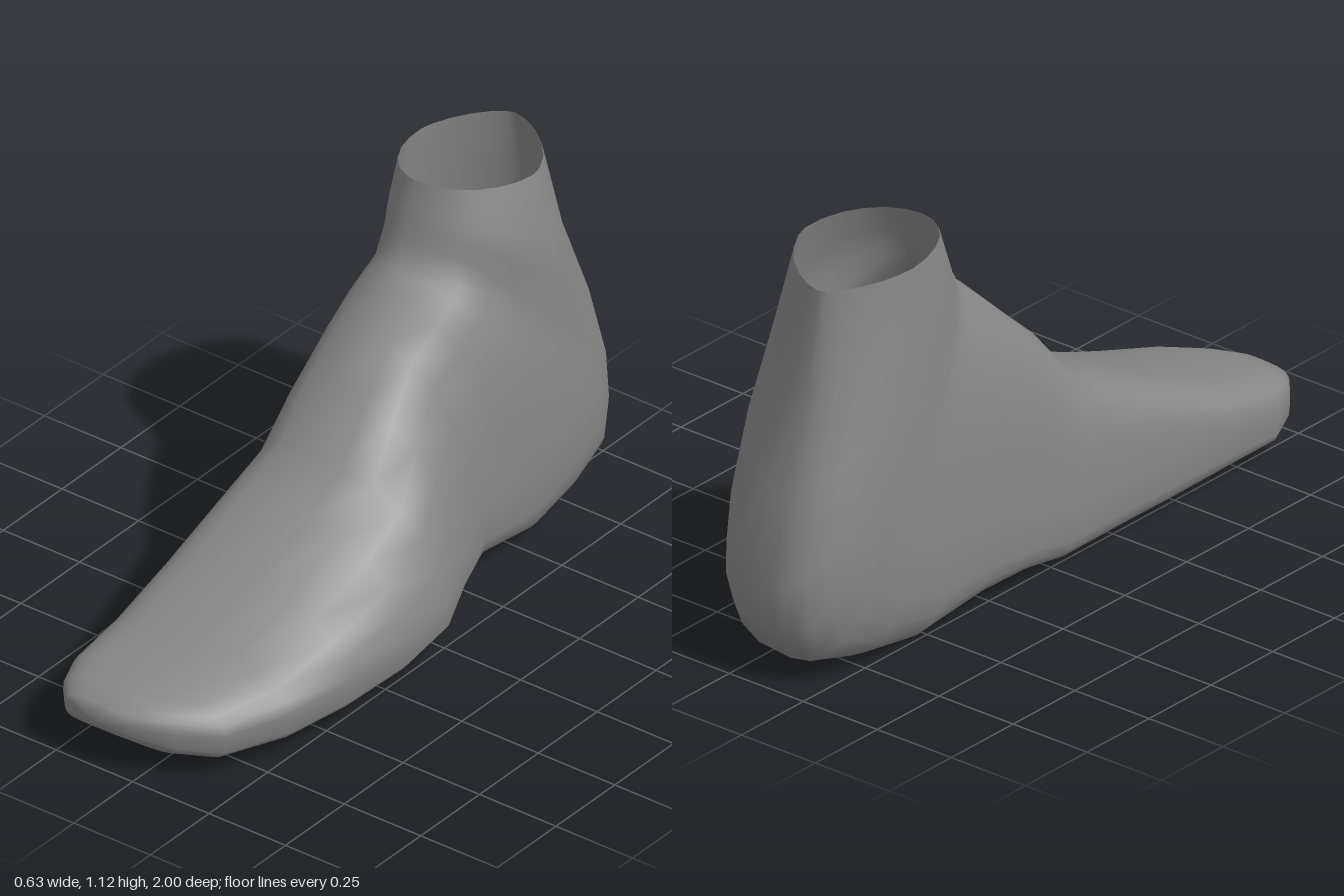
import * as THREE from 'three';

// Cross-sections fanning from the toes (upright) round the heel to the ankle opening (level).
// [soleZ, soleY, topZ, topY, innerX, outerX, widest point (0 sole..1 top)]
const SECTIONS = [
  [0.98, 0.11, 0.985, 0.19, -0.235, -0.02, 0.5],
  [0.92, 0.065, 0.93, 0.21, -0.285, 0.09, 0.5],
  [0.84, 0.04, 0.85, 0.23, -0.315, 0.185, 0.5],
  [0.66, 0.035, 0.68, 0.27, -0.315, 0.27, 0.5],
  [0.45, 0.03, 0.47, 0.36, -0.315, 0.305, 0.42],
  [0.22, 0.03, 0.26, 0.46, -0.315, 0.315, 0.33],
  [0, 0.025, 0.12, 0.54, -0.315, 0.285, 0.28],
  [-0.15, 0.045, 0, 0.68, -0.315, 0.225, 0.26],
  [-0.33, 0.04, -0.12, 0.79, -0.315, 0.16, 0.28],
  [-0.56, 0.005, -0.2, 0.87, -0.315, 0.175, 0.29],
  [-0.76, 0.025, -0.25, 0.91, -0.315, 0.175, 0.32],
  [-0.92, 0.065, -0.275, 0.935, -0.31, 0.17, 0.36],
  [-0.98, 0.16, -0.285, 0.96, -0.31, 0.16, 0.4],
  [-1, 0.3, -0.3, 0.985, -0.305, 0.15, 0.45],
  [-0.94, 0.54, -0.31, 1.02, -0.295, 0.155, 0.5],
  [-0.85, 0.81, -0.325, 1.055, -0.285, 0.14, 0.5],
  [-0.81, 1.09, -0.35, 1.125, -0.27, 0.095, 0.5],
];
const SIDES = 24;

// One closed loop, counter-clockwise seen from the front: boxy where it stands upright,
// round where it lies level, narrowing towards the tendon above the heel
function sectionLoop([bz, by, tz, ty, inner, outer, widest]) {
  const tilt = Math.abs(tz - bz) / Math.hypot(tz - bz, ty - by);
  const lower = 0.45 + 0.85 * tilt * tilt;
  const upperInner = 0.6 + 0.4 * tilt;
  const upperOuter = 1 - 0.25 * Math.sin(Math.PI * tilt) ** 2;
  const points = [];
  for (let j = 0; j < SIDES; j++) {
    const a = (j / SIDES) * Math.PI * 2;
    const c = Math.cos(a), s = Math.sin(a);
    const power = s < 0 ? lower : c < 0 ? upperInner : upperOuter;
    const ridge = s < 0 ? -0.14 : -0.11;
    const across = Math.pow(Math.abs(c), power), up = Math.pow(Math.abs(s), power);
    const x = ridge + ((c < 0 ? inner : outer) - ridge) * across;
    const t = s < 0 ? widest * (1 - up) : widest + (1 - widest) * up;
    points.push(x, by + (ty - by) * t, bz + (tz - bz) * t);
  }
  return points;
}

function footGeometry() {
  const positions = SECTIONS.flatMap(sectionLoop);
  const index = [];
  const at = (i, j) => i * SIDES + (j % SIDES);
  for (let i = 0; i < SECTIONS.length - 1; i++) {
    for (let j = 0; j < SIDES; j++) {
      index.push(at(i, j), at(i + 1, j), at(i, j + 1));
      index.push(at(i + 1, j), at(i + 1, j + 1), at(i, j + 1));
    }
  }
  // Close the toe end; the ankle stays open
  const tip = positions.length / 3;
  positions.push(-0.13, 0.14, 1);
  for (let j = 0; j < SIDES; j++) index.push(tip, at(0, j), at(0, j + 1));

  const geometry = new THREE.BufferGeometry();
  geometry.setAttribute('position', new THREE.Float32BufferAttribute(positions, 3));
  geometry.setIndex(index);
  geometry.computeVertexNormals();
  return geometry;
}

export function createModel() {
  const group = new THREE.Group();
  group.name = 'footModel';
  const material = new THREE.MeshStandardMaterial({ color: 0x868686, side: THREE.DoubleSide });
  const foot = new THREE.Mesh(footGeometry(), material);
  foot.name = 'foot';
  group.add(foot);
  return group;
}
